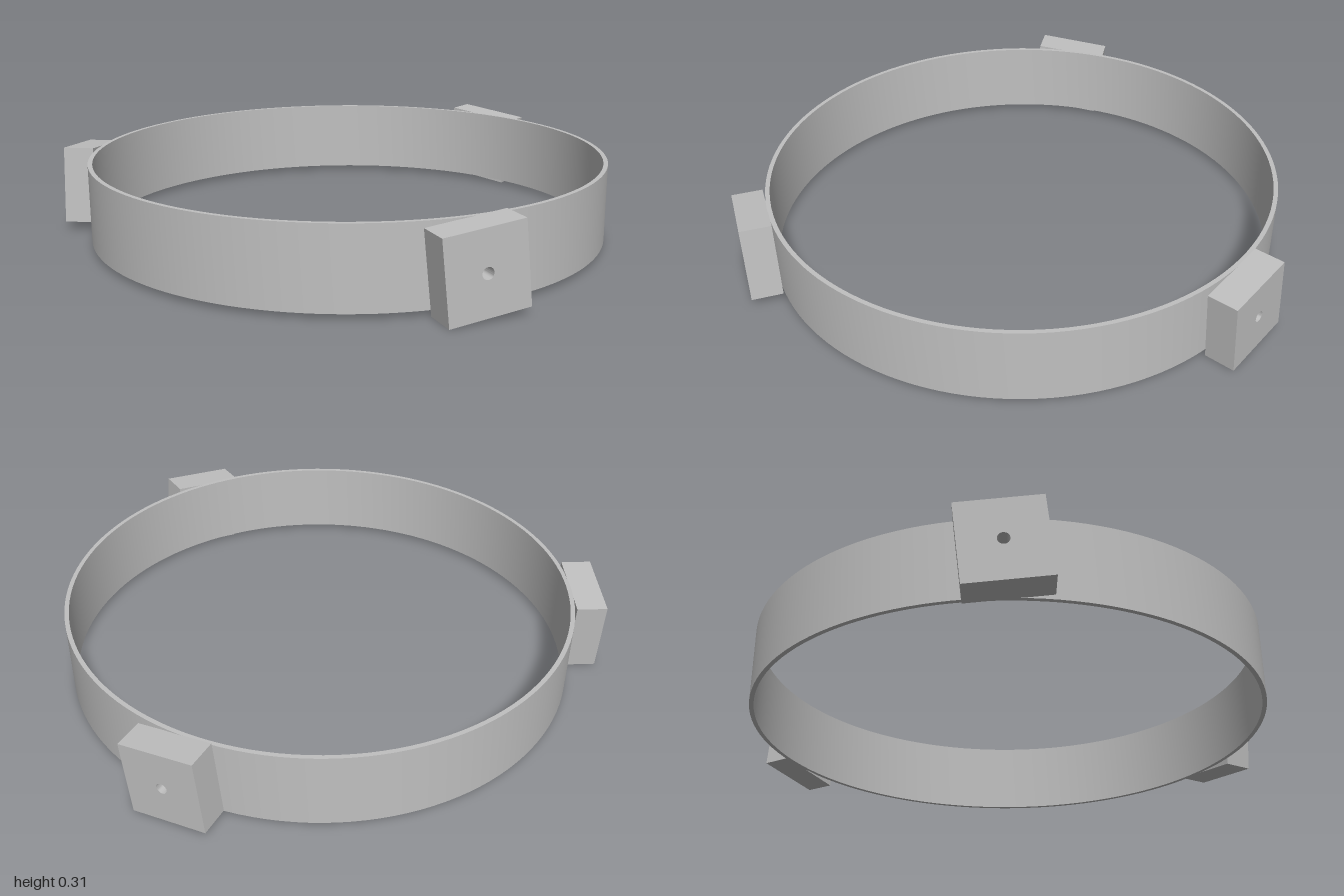
import * as THREE from 'three';
import { toCreasedNormals } from 'three/addons/utils/BufferGeometryUtils.js';

const metal = new THREE.MeshStandardMaterial({ color: 0xc0c0c0 });
metal.name = 'light grey';

// Extrudes an outline with a round hole, keeping hard edges crisp
function extrudeWithHole(outline, holeRadius, depth, curveSegments) {
  const hole = new THREE.Path();
  hole.absarc(0, 0, holeRadius, 0, Math.PI * 2, true);
  outline.holes.push(hole);
  const geometry = new THREE.ExtrudeGeometry(outline, { depth, bevelEnabled: false, curveSegments });
  return toCreasedNormals(geometry, 0.6);
}

export function createModel() {
  const model = new THREE.Group();
  model.name = 'ringWithBlocks';

  // Ring: thin upright band
  const circle = new THREE.Shape();
  circle.absarc(0, 0, 0.945, 0, Math.PI * 2, false);
  const ringGeometry = extrudeWithHole(circle, 0.929, 0.279, 64);
  ringGeometry.rotateX(-Math.PI / 2);
  const ring = new THREE.Mesh(ringGeometry, metal);
  ring.name = 'ring';
  ring.position.y = 0.018;
  model.add(ring);

  // Mounting blocks: slightly tilted drilled squares, spaced evenly around the ring
  const h = 0.14;
  const square = new THREE.Shape([
    new THREE.Vector2(-h, -h), new THREE.Vector2(h, -h),
    new THREE.Vector2(h, h), new THREE.Vector2(-h, h),
  ]);
  const blockGeometry = extrudeWithHole(square, 0.02, 0.112, 12);
  blockGeometry.rotateZ(THREE.MathUtils.degToRad(6));
  blockGeometry.translate(-0.013, 0.154, 0.943);
  for (let i = 0; i < 3; i++) {
    const block = new THREE.Mesh(blockGeometry, metal);
    block.name = 'mountingBlock' + (i + 1);
    block.rotation.y = Math.PI / 2 - (i * Math.PI * 2) / 3;
    model.add(block);
  }

  model.position.set(-0.055, 0, 0.006);
  return model;
}
